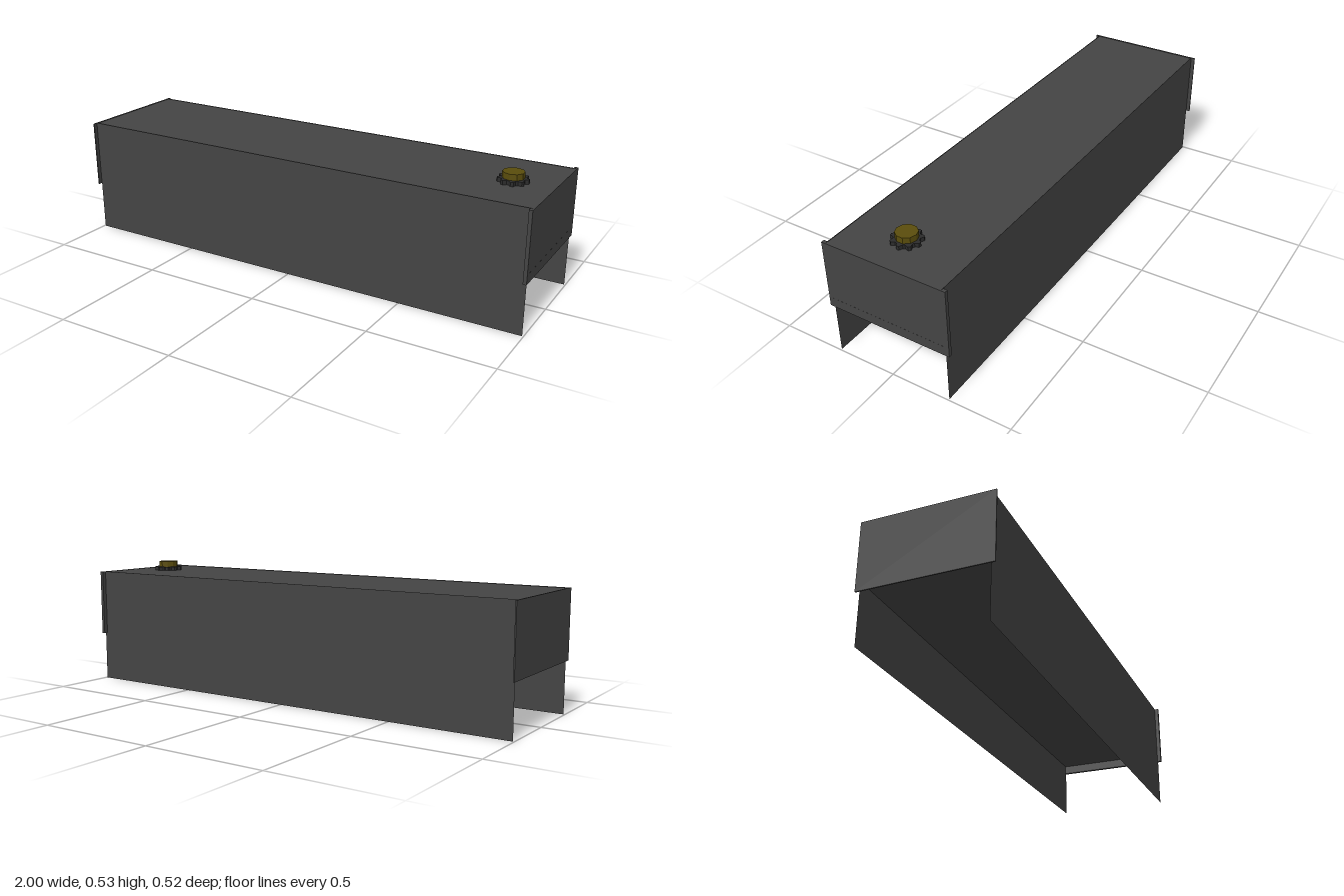
import * as THREE from 'three';

const dark = new THREE.MeshStandardMaterial({ color: 0x444444, flatShading: true });
const sheet = new THREE.MeshStandardMaterial({ color: 0x444444, flatShading: true, side: THREE.DoubleSide });
const collarMat = new THREE.MeshStandardMaterial({ color: 0x2c2c2c, flatShading: true });
const gold = new THREE.MeshStandardMaterial({ color: 0x5a4d0c, flatShading: true });

function add(parent, name, geometry, material, x, y, z) {
  const mesh = new THREE.Mesh(geometry, material);
  mesh.name = name;
  mesh.position.set(x, y, z);
  parent.add(mesh);
  return mesh;
}

export function createModel() {
  const model = new THREE.Group();
  model.name = 'tank';

  // Closed upper body
  add(model, 'body', new THREE.BoxGeometry(1.984, 0.242, 0.484), dark, 0, 0.367, 0);

  // Thin side sheets hanging down to the ground
  for (const side of [1, -1]) {
    add(model, side > 0 ? 'frontSkirt' : 'backSkirt',
      new THREE.PlaneGeometry(1.99, 0.49), sheet, 0, 0.245, side * 0.2435);
  }

  // End plates, a little wider and deeper than the body
  add(model, 'leftEndPlate', new THREE.BoxGeometry(0.014, 0.28, 0.52), dark, 0.993, 0.349, 0);
  add(model, 'rightEndPlate', new THREE.BoxGeometry(0.005, 0.28, 0.52), dark, -0.9975, 0.349, 0);

  // Raised seam across the lower part of the left end plate
  add(model, 'endSeam', new THREE.BoxGeometry(0.001, 0.002, 0.486), dark, 0.9998, 0.247, 0);

  // Filler cap with a toothed collar
  const cap = new THREE.Group();
  cap.name = 'fillerCap';
  cap.position.set(0.84, 0.488, 0.014);
  model.add(cap);

  const teeth = 9;
  const outline = new THREE.Shape();
  for (let i = 0; i < teeth * 4; i++) {
    const a = (i / (teeth * 4)) * Math.PI * 2;
    const r = i % 4 < 2 ? 0.06 : 0.048;
    if (i === 0) outline.moveTo(r * Math.cos(a), r * Math.sin(a));
    else outline.lineTo(r * Math.cos(a), r * Math.sin(a));
  }
  outline.closePath();
  const collar = new THREE.ExtrudeGeometry(outline, { depth: 0.016, bevelEnabled: false });
  collar.rotateX(-Math.PI / 2);
  add(cap, 'collar', collar, collarMat, 0, 0, 0);
  add(cap, 'capTop', new THREE.CylinderGeometry(0.042, 0.042, 0.04, 10), gold, 0, 0.02, 0);

  return model;
}
